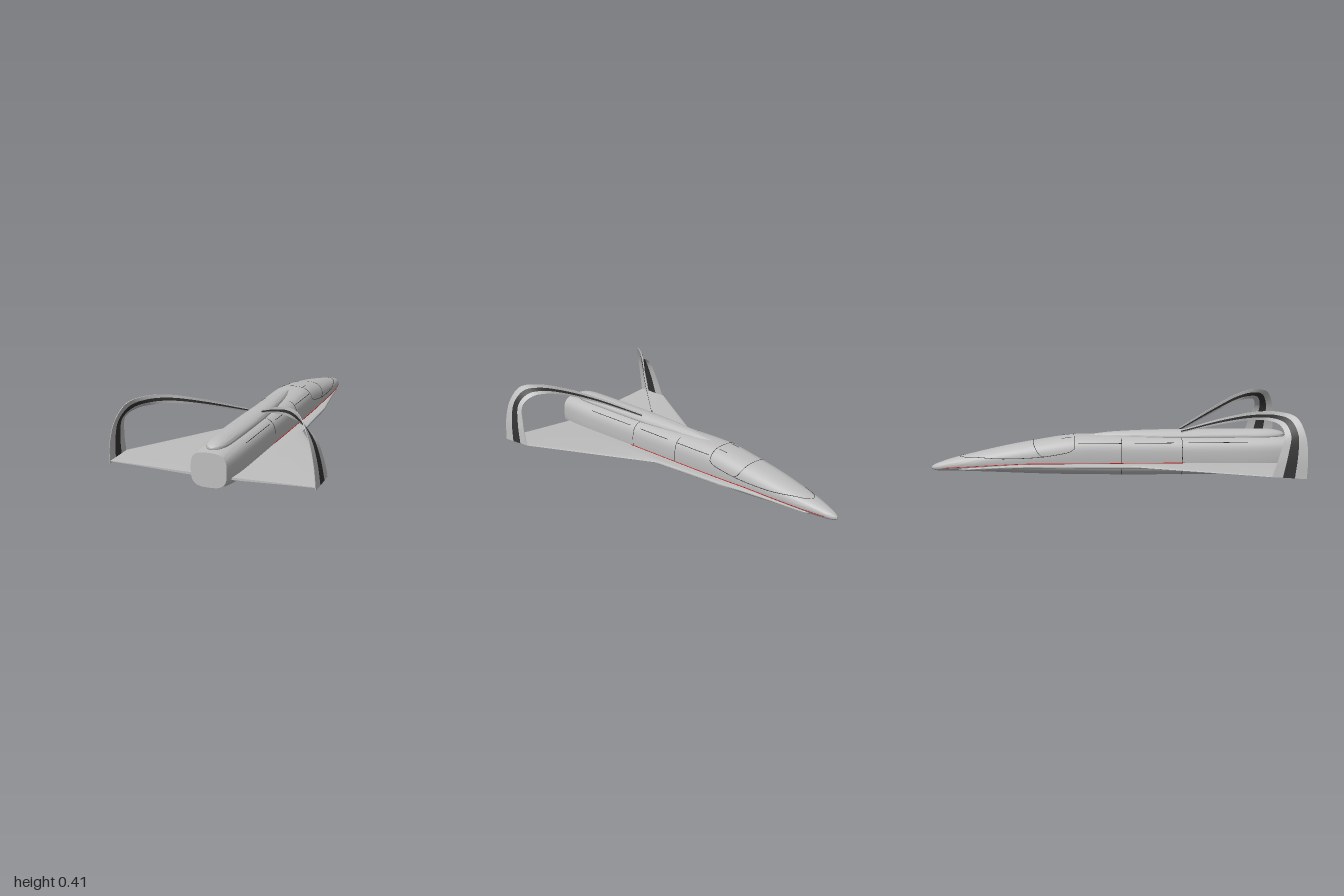
import * as THREE from 'three';
import { toCreasedNormals } from 'three/addons/utils/BufferGeometryUtils.js';

const paint = (name, color) => {
  const m = new THREE.MeshStandardMaterial({ color });
  m.name = name;
  return m;
};

// Smooth interpolation through stations [key, a, b, ...]
function sample(table, t) {
  const last = table.length - 1;
  let i = 0;
  while (i < last - 1 && t > table[i + 1][0]) i++;
  const a = table[i], b = table[i + 1], h = b[0] - a[0];
  const u = Math.min(1, Math.max(0, (t - a[0]) / h));
  const slope = (k, c) => {
    const p = table[Math.max(0, k - 1)], q = table[Math.min(last, k + 1)];
    return (q[c] - p[c]) / (q[0] - p[0]);
  };
  return a.slice(1).map((_, k) => {
    const c = k + 1;
    return a[c] * (1 + 2 * u) * (1 - u) ** 2 + b[c] * u * u * (3 - 2 * u)
      + h * (slope(i, c) * u * (1 - u) ** 2 - slope(i + 1, c) * u * u * (1 - u));
  });
}

// Closed skin over rings of equal size, capped at both ends and facing outward
function loft(rings, crease = 0.7) {
  const n = rings[0].length, verts = rings.flat(), faces = [];
  for (let i = 0; i < rings.length - 1; i++) {
    for (let j = 0; j < n; j++) {
      const a = i * n + j, b = i * n + (j + 1) % n;
      faces.push([a, b, a + n], [b, b + n, a + n]);
    }
  }
  [0, rings.length - 1].forEach((r) => {
    const centre = new THREE.Vector3();
    rings[r].forEach((p) => centre.addScaledVector(p, 1 / n));
    const c = verts.push(centre) - 1;
    for (let j = 0; j < n; j++) {
      const a = r * n + j, b = r * n + (j + 1) % n;
      faces.push(r ? [c, a, b] : [c, b, a]);
    }
  });
  let volume = 0;
  faces.forEach(([a, b, c]) => { volume += verts[a].dot(verts[b].clone().cross(verts[c])); });
  if (volume < 0) faces.forEach((f) => f.reverse());
  const geo = new THREE.BufferGeometry().setFromPoints(verts);
  geo.setIndex(faces.flat());
  return toCreasedNormals(geo, crease);
}

// Fuselage stations: z, half width, top, bottom, squareness
const HULL = [
  [-1, 0.004, 0.05, 0.038, 2], [-0.985, 0.017, 0.061, 0.03, 2], [-0.95, 0.031, 0.075, 0.026, 2.1],
  [-0.88, 0.05, 0.097, 0.026, 2.2], [-0.8, 0.067, 0.116, 0.025, 2.3], [-0.6, 0.094, 0.16, 0.018, 2.5],
  [-0.4, 0.108, 0.195, 0.01, 2.7], [-0.2, 0.114, 0.221, 0.005, 2.9], [0.1, 0.115, 0.217, 0.001, 3.1],
  [0.4, 0.115, 0.212, 0, 3.2], [0.8, 0.115, 0.212, 0.002, 3.2], [0.92, 0.108, 0.21, 0.011, 3.2],
  [1, 0.096, 0.204, 0.024, 3.2],
];
function hullRing(z) {
  const [w, top, bottom, e] = sample(HULL, z), ring = [];
  for (let k = 0; k < 48; k++) {
    const a = k / 48 * Math.PI * 2, c = Math.cos(a), s = Math.sin(a);
    ring.push(new THREE.Vector3(
      w * Math.sign(c) * Math.abs(c) ** (2 / e),
      (top + bottom) / 2 + (top - bottom) / 2 * Math.sign(s) * Math.abs(s) ** (2 / e), z));
  }
  return ring;
}
// Point on the hull side at a given height
function onHull(side, z, y) {
  const [w, top, bottom, e] = sample(HULL, z);
  const v = Math.min(1, Math.abs((y - (top + bottom) / 2) / ((top - bottom) / 2)));
  return new THREE.Vector3(side * w * (1 - v ** e) ** (1 / e), Math.min(top, y), z);
}
const range = (a, b, n) => Array.from({ length: n + 1 }, (_, i) => a + (b - a) * i / n);

// Wing stations: x, leading edge z, trailing edge z, thickness
const WING = [
  [0, -0.93, 0.95, 0.024], [0.06, -0.83, 0.95, 0.024], [0.09, -0.67, 0.95, 0.024],
  [0.106, -0.58, 0.95, 0.023], [0.13, -0.45, 0.951, 0.022], [0.152, -0.32, 0.952, 0.022],
  [0.168, -0.05, 0.954, 0.021], [0.18, 0.13, 0.955, 0.02], [0.3, 0.347, 0.963, 0.016],
  [0.42, 0.565, 0.972, 0.011], [0.55, 0.8, 0.985, 0.006],
];
const wingY = (x, z) => 0.066 + 0.024 * Math.max(0, x - 0.11) / 0.44
  - 0.035 * Math.max(0, (-0.45 - z) / 0.5) ** 1.3;
function wing(side) {
  return loft(WING.map(([x, le, te, thick]) => {
    const chord = range(0, 1, 20).map((u) => [le + (te - le) * u * u * (2 - u),
      thick * (0.5 * Math.sqrt(Math.sin(Math.PI * Math.min(u * 0.9, 1))))]);
    const skin = (s) => chord.map(([z, h]) => new THREE.Vector3(side * x, wingY(x, z) + s * h, z));
    return [...skin(1), ...skin(-1).reverse()];
  }), 0.5);
}

// Arched fin: front and rear edges run from the spine over to the wing tip
const edge = (pts) => new THREE.CatmullRomCurve3(pts.map((p) => new THREE.Vector3(...p)));
const FRONT_EDGE = edge([[0.04, 0.235, 0.385], [0.2, 0.312, 0.6], [0.31, 0.35, 0.735], [0.38, 0.358, 0.81],
  [0.45, 0.345, 0.86], [0.51, 0.3, 0.877], [0.537, 0.2, 0.847], [0.549, 0.09, 0.81]]);
const REAR_EDGE = edge([[0.04, 0.252, 0.385], [0.2, 0.345, 0.6], [0.33, 0.397, 0.75], [0.415, 0.41, 0.865],
  [0.47, 0.388, 0.945], [0.515, 0.305, 0.985], [0.54, 0.2, 0.995], [0.55, 0.077, 0.99]]);
function finStrip(side, f0, f1) {
  const at = (t, f) => FRONT_EDGE.getPoint(t).lerp(REAR_EDGE.getPoint(t), f);
  return loft(range(0, 1, 56).map((t) => {
    const across = REAR_EDGE.getPoint(t).sub(FRONT_EDGE.getPoint(t));
    const along = at(Math.min(1, t + 0.01), 0.5).sub(at(Math.max(0, t - 0.01), 0.5));
    const normal = across.cross(along).normalize();
    return [[f0, 1], [f1, 1], [f1, -1], [f0, -1]].map(([f, s]) => {
      const p = at(t, f).addScaledVector(normal, s * (0.0015 + 0.006 * f * (1 - f)));
      p.x *= side;
      return p;
    });
  }));
}

export function createModel() {
  const grey = paint('hull grey', 0xbebebe);
  const dark = paint('dark trim', 0x333333);
  const red = paint('red line', 0xd01818);
  const model = new THREE.Group();
  model.name = 'spaceplane';
  const add = (name, geo, mat) => {
    const mesh = new THREE.Mesh(geo, mat);
    mesh.name = name;
    model.add(mesh);
  };
  const line = (name, pts, mat, r = 0.0016) => add(name,
    new THREE.TubeGeometry(new THREE.CatmullRomCurve3(pts), pts.length * 3, r, 5), mat);

  // Fuselage
  const hullZ = [-1, -0.995, -0.985, -0.97, ...range(-0.95, 0.88, 40), 0.92, 0.96, 1];
  add('fuselage', loft(hullZ.map(hullRing)), grey);

  // Dorsal spine: z, half width, top
  const SPINE = [[-0.13, 0.002, 0.222], [-0.08, 0.017, 0.23], [0, 0.033, 0.238], [0.2, 0.051, 0.246],
    [0.4, 0.06, 0.247], [0.82, 0.06, 0.247], [0.91, 0.05, 0.242], [0.955, 0.028, 0.229], [0.97, 0.003, 0.216]];
  add('dorsalSpine', loft([...range(-0.13, 0.82, 24), 0.85, 0.88, 0.91, 0.93, 0.945, 0.955, 0.965, 0.97].map((z) => {
    const [w, top] = sample(SPINE, z);
    return range(0, 31, 31).map((k) => new THREE.Vector3(
      w * Math.cos(k * Math.PI / 16), 0.214 + (top - 0.214) * Math.sin(k * Math.PI / 16), z));
  }), 0.9), grey);

  // Canopy outline: z, height on the hull
  const CANOPY = [[-0.845, 0.106], [-0.82, 0.107], [-0.75, 0.11], [-0.6, 0.106], [-0.4, 0.116],
    [-0.27, 0.136], [-0.23, 0.147], [-0.21, 0.162]];

  [[1, 'left'], [-1, 'right']].forEach(([side, label]) => {
    add(label + 'Wing', wing(side), grey);
    add(label + 'FinFront', finStrip(side, 0, 0.3), grey);
    add(label + 'FinStripe', finStrip(side, 0.3, 0.65), dark);
    add(label + 'FinRear', finStrip(side, 0.65, 1), grey);

    // Canopy seams
    line(label + 'CanopySeam', range(-0.845, -0.21, 30).map((z) => onHull(side, z, sample(CANOPY, z)[0])), dark);
    line(label + 'CanopyRearSeam', range(0.162, 0.2208, 14).map((y) => onHull(side, -0.21, y)), dark);
    line(label + 'CanopyFrame', range(0, 1, 16).map((u) => {
      const z = -0.38 - 0.057 * Math.sqrt(u), top = sample(HULL, z)[1];
      return onHull(side, z, 0.118 + (top - 0.118) * u);
    }), dark);
    const mark = range(-0.28, -0.225, 3).map((z) => {
      const [w, top, bottom, e] = sample(HULL, z), h = (top - bottom) / 2;
      return new THREE.Vector3(side * 0.05, bottom + h + h * (1 - (0.05 / w) ** e) ** (1 / e), z);
    });
    line(label + 'CanopyMark', mark, dark);

    // Hull panel seams
    [0.05, 0.385].forEach((z) => line(label + 'RingSeam',
      range(0, 1, 20).map((u) => onHull(side, z, 0.21 - 0.205 * u)), dark));
    [[-0.19, 0.05], [0.12, 0.34], [0.42, 0.75]].forEach(([a, b]) => line(label + 'DoorSeam',
      range(a, b, 6).map((z) => onHull(side, z, 0.188)), dark));

    // Red line above the strake root
    line(label + 'RedLine', range(-0.94, 0.4, 30).map((z) => onHull(side, z, wingY(0, z) + 0.013)), red, 0.002);
  });
  return model;
}
